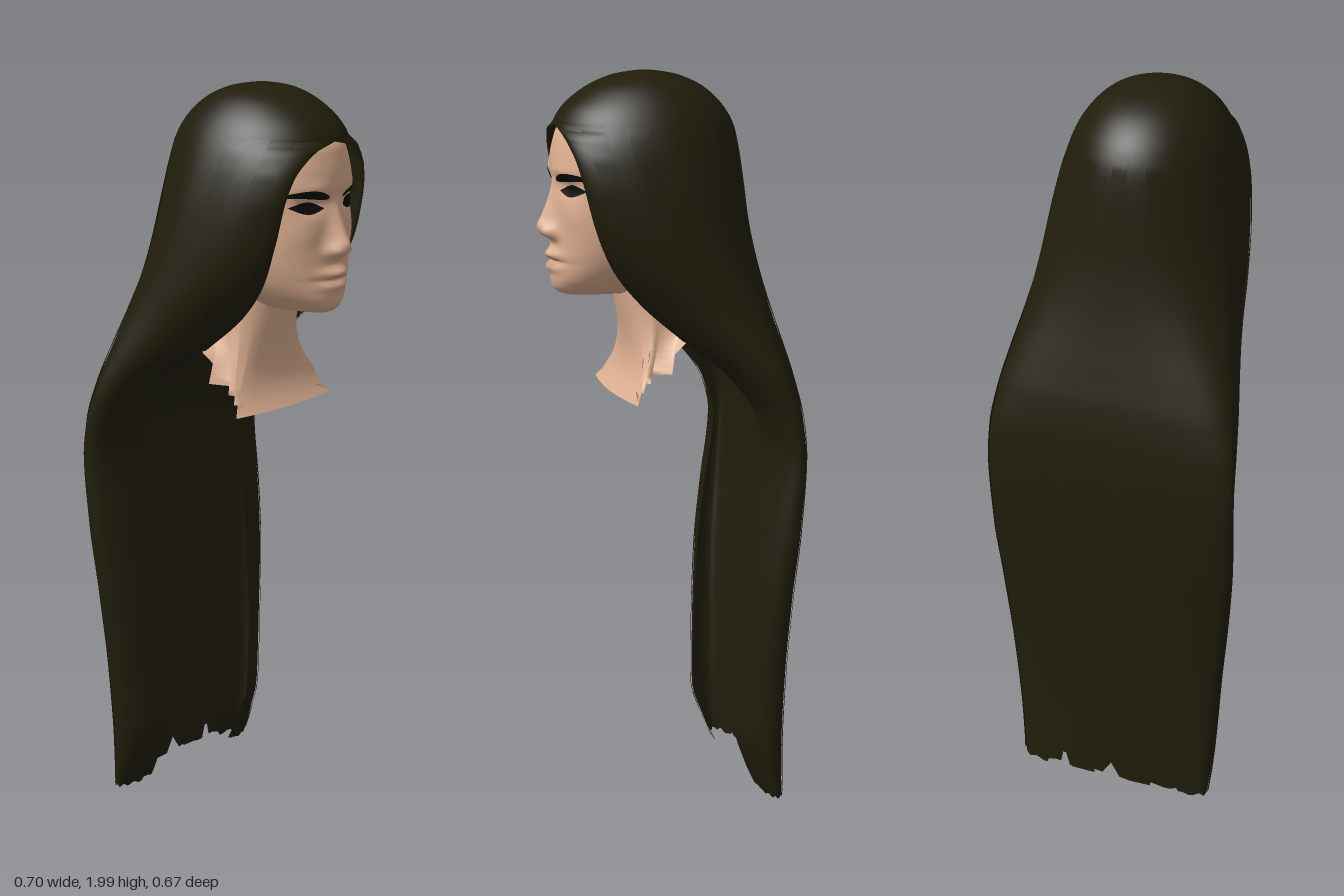
import * as THREE from 'three';

const mat = (name, color) => {
  const m = new THREE.MeshStandardMaterial({ color, side: THREE.DoubleSide });
  m.name = name;
  return m;
};

// Smooth lookup in rows [y, a, b, ...] sorted by descending y
function sample(rows, y) {
  const n = rows.length;
  if (y >= rows[0][0]) return rows[0].slice(1);
  if (y <= rows[n - 1][0]) return rows[n - 1].slice(1);
  let i = 0;
  while (rows[i + 1][0] > y) i++;
  const p = rows[i], q = rows[i + 1], h = q[0] - p[0], t = (y - p[0]) / h;
  const slope = (k, c) => {
    const a = rows[Math.max(k - 1, 0)], b = rows[k], d = rows[Math.min(k + 1, n - 1)];
    if (k === 0 || k === n - 1) return (d[c] - a[c]) / (d[0] - a[0]);
    const s = (b[c] - a[c]) / (b[0] - a[0]), r = (d[c] - b[c]) / (d[0] - b[0]);
    return s * r <= 0 ? 0 : 2 * s * r / (s + r);
  };
  return p.slice(1).map((v, j) => {
    const c = j + 1, t2 = t * t, t3 = t2 * t;
    return v * (2 * t3 - 3 * t2 + 1) + q[c] * (3 * t2 - 2 * t3) +
      h * (slope(i, c) * (t3 - 2 * t2 + t) + slope(i + 1, c) * (t3 - t2));
  });
}

// Surface from a rule f(s, t) -> [x, y, z], s across and t downwards
function sheet(name, material, cols, rows, f) {
  const pos = [], idx = [];
  for (let i = 0; i <= rows; i++) {
    for (let j = 0; j <= cols; j++) {
      pos.push(...f(j / cols, i / rows));
      if (i < rows && j < cols) {
        const a = i * (cols + 1) + j, c = a + cols + 1;
        idx.push(a, a + 1, c, a + 1, c + 1, c);
      }
    }
  }
  const g = new THREE.BufferGeometry();
  g.setAttribute('position', new THREE.Float32BufferAttribute(pos, 3));
  g.setIndex(idx);
  g.computeVertexNormals();
  const m = new THREE.Mesh(g, material);
  m.name = name;
  return m;
}

// Hair sections: y, half width, back z, z of widest point, front z, front gap half width
const HAIR = [
  [2.0, 0, 0.03, 0.03, 0.03, 0], [1.997, 0.035, 0, 0.03, 0.065, 0],
  [1.985, 0.09, -0.06, 0.03, 0.13, 0], [1.95, 0.143, -0.13, 0.03, 0.205, 0],
  [1.9, 0.184, -0.18, 0.03, 0.262, 0], [1.865, 0.203, -0.2, 0.03, 0.28, 0],
  [1.853, 0.208, -0.205, 0.03, 0.281, 0.06], [1.83, 0.217, -0.21, 0.03, 0.275, 0.1],
  [1.78, 0.232, -0.218, 0.02, 0.261, 0.143], [1.7, 0.248, -0.226, 0, 0.242, 0.163],
  [1.6, 0.262, -0.235, -0.03, 0.215, 0.165], [1.5, 0.275, -0.25, -0.07, 0.17, 0.152],
  [1.4, 0.291, -0.27, -0.13, 0.09, 0.138], [1.3, 0.312, -0.293, -0.19, -0.02, 0.16],
  [1.2, 0.332, -0.315, -0.24, -0.14, 0.19], [1.1, 0.343, -0.327, -0.28, -0.21, 0.2],
  [1.0, 0.345, -0.33, -0.295, -0.235, 0.205], [0.8, 0.341, -0.325, -0.28, -0.21, 0.21],
  [0.6, 0.325, -0.312, -0.26, -0.185, 0.2], [0.4, 0.305, -0.303, -0.25, -0.175, 0.195],
  [0.2, 0.29, -0.3, -0.245, -0.17, 0.18], [0.1, 0.283, -0.3, -0.25, -0.2, 0.17],
  [0.01, 0.275, -0.3, -0.265, -0.24, 0.165],
];

// u = -1 right front edge, 0 middle of the back, 1 left front edge
function hairPoint(u, y, lift = 0) {
  const [w, zb, zw, zf, gap] = sample(HAIR, y);
  const a = Math.abs(u) * Math.PI, s = Math.sign(u);
  const e = 1 - 0.27 * THREE.MathUtils.smoothstep(1.8 - y, 0, 0.6);
  let x, z;
  if (a <= Math.PI / 2) {
    x = (w + lift) * Math.pow(Math.sin(a), e);
    z = zw - (zw - zb + lift) * Math.pow(Math.max(Math.cos(a), 0), e);
  } else {
    const b = a - Math.PI / 2, flat = 1 + Math.min(0.3, gap * 2.5);
    x = gap + (w + lift - gap) * Math.pow(Math.max(Math.cos(b), 0), flat);
    z = zw + (zf - zw + lift) * Math.sin(b);
  }
  return [s * x, y, z];
}

// Face: y, half width, front z, back z
const FACE = [
  [1.94, 0.02, 0.08, 0.0], [1.92, 0.09, 0.17, -0.08], [1.88, 0.135, 0.245, -0.13],
  [1.84, 0.155, 0.275, -0.16], [1.76, 0.168, 0.29, -0.18], [1.7, 0.17, 0.284, -0.18],
  [1.6, 0.165, 0.285, -0.17], [1.55, 0.155, 0.288, -0.14], [1.5, 0.137, 0.289, -0.1],
  [1.46, 0.11, 0.294, -0.06], [1.438, 0.088, 0.29, -0.02], [1.422, 0.065, 0.276, 0.02],
  [1.413, 0.04, 0.25, 0.05], [1.41, 0.001, 0.15, 0.13],
];
const NOSE = [[1.73, 0, 0.014], [1.67, 0.018, 0.015], [1.625, 0.036, 0.018],
  [1.6, 0.047, 0.021], [1.58, 0.038, 0.023], [1.56, 0.006, 0.023], [1.55, 0, 0.023]];
const bell = (d, s) => Math.exp(-d * d / (2 * s * s));
const MID = 0.08;

function relief(x, y) {
  const ax = Math.abs(x), [n, nw] = sample(NOSE, y);
  return n * bell(x, nw)
    + 0.014 * bell(ax - 0.028, 0.009) * bell(y - 1.585, 0.011)
    - 0.014 * bell(ax - 0.07, 0.028) * bell(y - 1.708, 0.018)
    + 0.006 * bell(ax - 0.07, 0.035) * bell(y - 1.745, 0.014)
    + 0.006 * bell(ax - 0.1, 0.03) * bell(y - 1.63, 0.03)
    + 0.02 * bell(x, 0.034) * bell(y - 1.524, 0.01)
    + 0.015 * bell(x, 0.032) * bell(y - 1.49, 0.01)
    - 0.008 * bell(x, 0.04) * bell(y - 1.507, 0.004);
}
function faceZ(x, y) {
  const [w, zf] = sample(FACE, y);
  const c = Math.sqrt(Math.max(0, 1 - (x / w) ** 2));
  return MID + (zf - MID) * Math.pow(c, 0.75) + relief(x, y);
}

// Neck hem on the model's left side, from front middle to back middle
const HEM = [
  [0, 1.14, 0.135], [0.07, 1.14, 0.132], [0.14, 1.14, 0.125], [0.2, 1.14, 0.115],
  [0.15, 1.165, 0.105], [0.185, 1.17, 0.095], [0.15, 1.185, 0.085], [0.185, 1.195, 0.075],
  [0.13, 1.205, 0.06], [0.2, 1.22, 0.02], [0.16, 1.265, 0], [0.18, 1.31, -0.04],
  [0.13, 1.31, -0.1], [0.07, 1.31, -0.13], [0, 1.32, -0.15],
];

export function createModel() {
  const model = new THREE.Group();
  model.name = 'longHairedBust';
  const skin = mat('skin', 0xdcae90);
  const lip = mat('lip', 0xcb9a82);
  const hair = mat('hair', 0x201d0b);
  const dark = mat('browAndLash', 0x0c0b06);

  // Head with sculpted face
  model.add(sheet('head', skin, 128, 110, (s, t) => {
    const a = (0.5 - s) * 2 * Math.PI, y = 1.94 - 0.53 * t;
    const [w, zf, zb] = sample(FACE, y), c = Math.cos(a), x = w * Math.sin(a);
    const z = c > 0 ? MID + (zf - MID) * Math.pow(c, 0.75) + relief(x, y) * Math.min(1, c * 3)
      : MID + (MID - zb) * c;
    return [x, y, z];
  }));

  // Neck flaring into a ragged collar
  const n = HEM.length - 1;
  model.add(sheet('neck', skin, n * 2, 18, (s, t) => {
    const k = Math.round((1 - 2 * s) * n), h = HEM[Math.abs(k)], a = k / n * Math.PI;
    const g = Math.pow(t, 2.6);
    const top = [0.112 * Math.sin(a), 1.5, 0.03 + 0.105 * Math.cos(a)];
    return [top[0] + (Math.sign(k) * h[0] - top[0]) * g,
      top[1] + (h[1] - top[1]) * t,
      top[2] + (h[2] - top[2]) * g - 0.3 * t * t * (1 - t) * Math.max(0, Math.cos(a))];
  }));

  // Thin patches laid over the face: centre line mid(p), half height half(p), p across
  const patch = (name, material, x0, x1, mid, half) =>
    sheet(name, material, 20, 4, (s, t) => {
      const p = 1 - s, x = x0 + (x1 - x0) * p, y = mid(p) + half(p) * (1 - 2 * t);
      return [x, y, faceZ(x, y) + 0.003];
    });
  for (const [side, d] of [['left', 1], ['right', -1]]) {
    const along = p => d > 0 ? p : 1 - p;
    const span = (a, b) => d > 0 ? [a, b] : [-b, -a];
    model.add(patch(side + 'Brow', dark, ...span(0.028, 0.146),
      p => 1.724 + 0.012 * Math.sin(along(p) * 2.6),
      p => 0.003 + 0.008 * Math.sin(Math.PI * Math.pow(along(p), 0.7))));
    model.add(patch(side + 'Eye', dark, ...span(0.04, 0.128),
      p => 1.697 + 0.006 * along(p), p => 0.001 + 0.015 * Math.sin(Math.PI * p)));
  }
  model.add(patch('upperLip', lip, -0.05, 0.05, p => 1.519 - 0.008 * Math.abs(2 * p - 1),
    p => 0.008 * Math.sin(Math.PI * p)));
  model.add(patch('lowerLip', lip, -0.045, 0.045, p => 1.494 + 0.01 * (2 * p - 1) ** 2,
    p => 0.009 * Math.sin(Math.PI * p)));

  // Main hair sheet with a ragged hem and two notches
  const hem = u => {
    const x = hairPoint(u, 0.05)[0];
    if (x > -0.02 && x < 0.025) return 0.07;
    if (x > 0.13 && x < 0.15) return 0.065;
    return (Math.abs(x) > 0.2 ? 0.017 : 0.028) + 0.004 * Math.sin(u * 47);
  };
  model.add(sheet('hair', hair, 160, 150, (s, t) => {
    const u = 2 * s - 1;
    return hairPoint(u, 2 - (2 - hem(u)) * Math.pow(t, 1.5));
  }));

  // Overlapping locks lying just above the sheet
  const locks = [[0.03, 0.1], [0.16, 0.25], [0.31, 0.39], [0.47, 0.56], [0.64, 0.72], [0.82, 0.92]];
  for (const d of [1, -1]) {
    locks.forEach(([a, b], i) => {
      const top = 1.93 - 0.03 * (i % 3), end = 0.025 + 0.006 * ((i * 2) % 3);
      model.add(sheet((d > 0 ? 'left' : 'right') + 'Lock' + (i + 1), hair, 10, 70, (s, t) => {
        const u = d > 0 ? a + (b - a) * s : -b + (b - a) * s;
        return hairPoint(u, top - (top - end) * t, 0.004 * Math.min(1, t * 8));
      }));
    });
  }
  return model;
}
